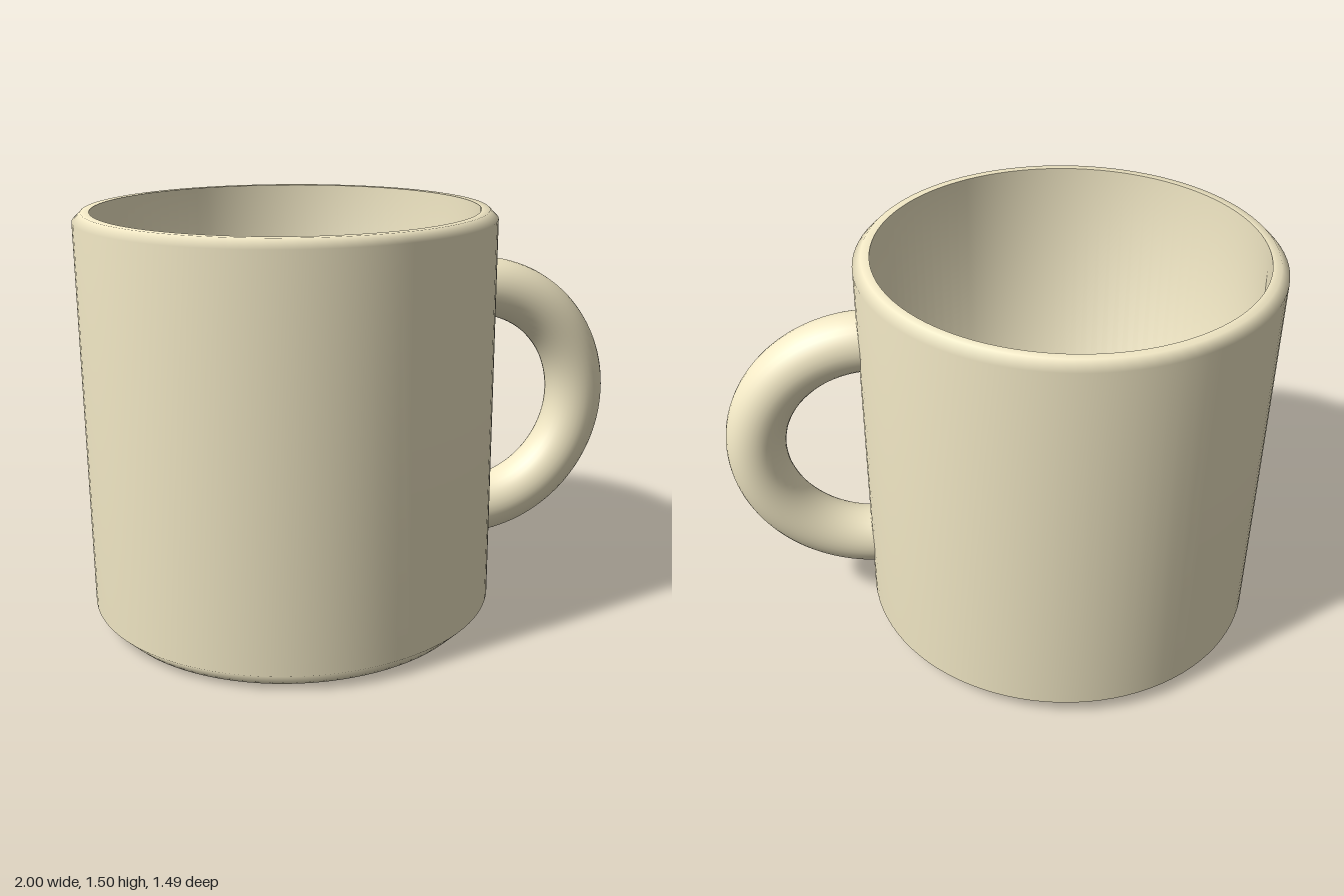
import * as THREE from 'three';

const CUP_X = -0.255;
const cream = new THREE.MeshStandardMaterial({ color: 0xf3e9c6 });

// Smooth surface of revolution from [radius, height] pairs
function turned(name, profile) {
  const points = profile.map(([r, y]) => new THREE.Vector2(r, y));
  const mesh = new THREE.Mesh(new THREE.LatheGeometry(points, 96), cream);
  mesh.name = name;
  mesh.position.x = CUP_X;
  return mesh;
}

export function createModel() {
  const mug = new THREE.Group();
  mug.name = 'mug';

  // Outside: underside, bottom chamfer, wall, top chamfer and flat rim
  mug.add(turned('outerWall', [
    [0, 0], [0.685, 0], [0.745, 0.06], [0.745, 1.47], [0.715, 1.5], [0.685, 1.5],
  ]));

  // Inside: straight wall down to the floor
  mug.add(turned('innerWall', [[0.685, 1.5], [0.685, 0.07], [0, 0.07]]));

  // Half-ring handle, its ends buried in the wall
  const handle = new THREE.Mesh(new THREE.TorusGeometry(0.44, 0.11, 32, 64, Math.PI), cream);
  handle.name = 'handle';
  handle.rotation.z = -Math.PI / 2;
  handle.position.set(0.45, 0.74, 0);
  mug.add(handle);

  return mug;
}
